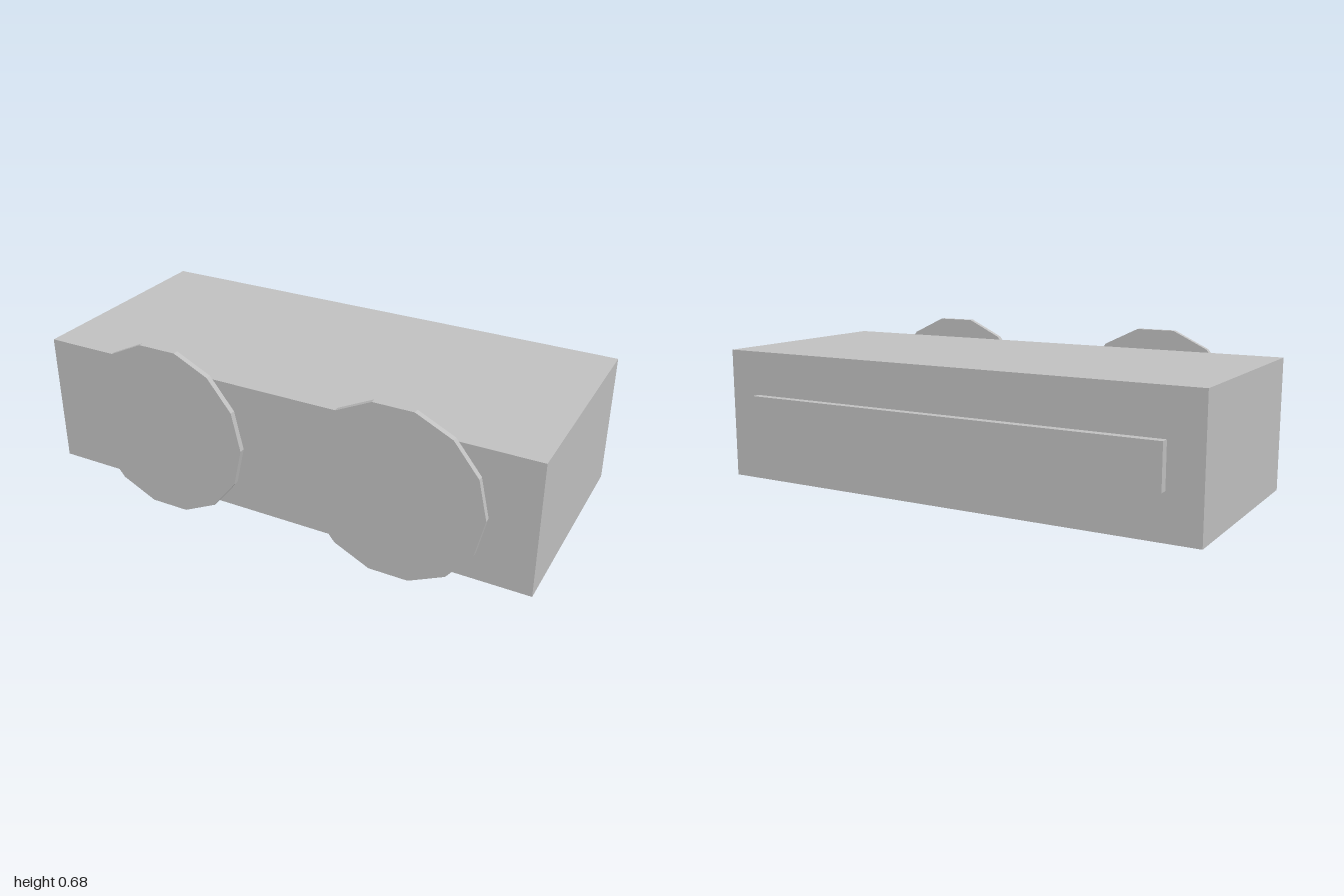
import * as THREE from 'three';

export function createModel() {
  const model = new THREE.Group();
  const gray = new THREE.MeshStandardMaterial({ color: 0xc0c0c0 });
  gray.name = 'light gray';
  gray.flatShading = true;

  const add = (name, geometry, x, y, z) => {
    const mesh = new THREE.Mesh(geometry, gray);
    mesh.name = name;
    mesh.position.set(x, y, z);
    model.add(mesh);
  };

  // Main block
  add('body', new THREE.BoxGeometry(2, 0.52, 0.868), 0, 0.34, 0.006);

  // Raised strip across the back
  add('backStrip', new THREE.BoxGeometry(1.738, 0.17, 0.034), 0, 0.34, -0.445);

  // Pair of fourteen-sided discs on the front, corners pointing sideways
  for (const [name, side] of [['leftDisc', 1], ['rightDisc', -1]]) {
    const disc = new THREE.CylinderGeometry(0.348, 0.348, 0.022, 14, 1, false, Math.PI / 2);
    disc.rotateX(Math.PI / 2);
    add(name, disc, side * 0.478, 0.34, 0.451);
  }

  return model;
}
